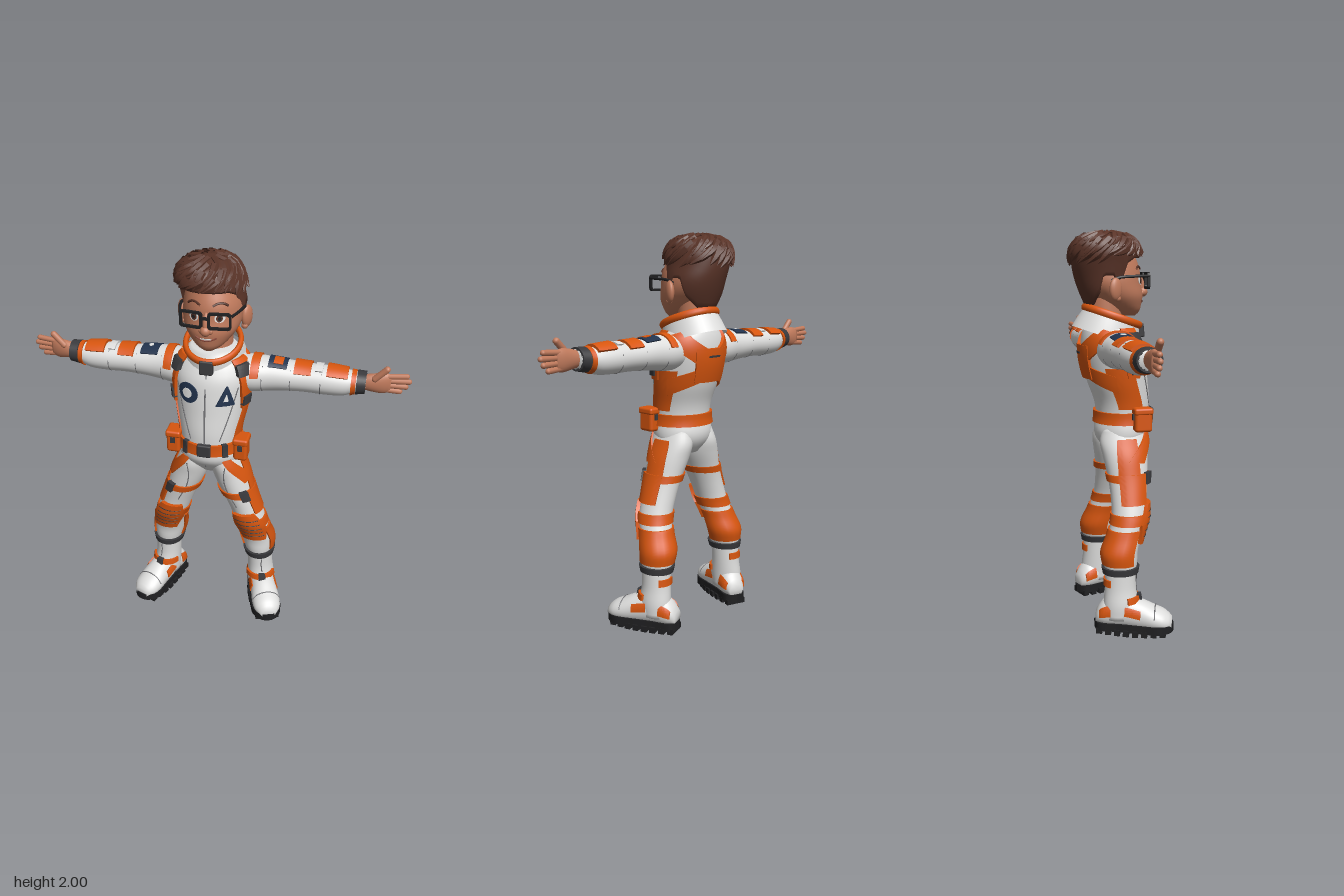
import * as THREE from 'three';
import { toCreasedNormals } from 'three/addons/utils/BufferGeometryUtils.js';
import { RoundedBoxGeometry } from 'three/addons/geometries/RoundedBoxGeometry.js';

const RAD = Math.PI / 180, clamp = THREE.MathUtils.clamp;
const V = (x, y, z) => new THREE.Vector3(x, y, z);
const material = (name, color, side = THREE.FrontSide) => Object.assign(new THREE.MeshStandardMaterial({ color, side }), { name });

// Smooth interpolation of cross-sections [t, centre1, centre2, radius1, radius2]
function sample(R, t) {
  let i = 0;
  while (i < R.length - 2 && t > R[i + 1][0]) i++;
  const h = R[i + 1][0] - R[i][0], u = clamp((t - R[i][0]) / h, 0, 1);
  const slope = (j, k) => {
    const p = R[Math.max(j - 1, 0)], q = R[Math.min(j + 1, R.length - 1)];
    return (q[k] - p[k]) / (q[0] - p[0]) * h;
  };
  return [1, 2, 3, 4].map(k => (1 + 2 * u) * (1 - u) ** 2 * R[i][k] + u * (1 - u) ** 2 * slope(i, k)
    + u * u * (3 - 2 * u) * R[i + 1][k] - u * u * (1 - u) * slope(i + 1, k));
}

// Surface along y (angle 0 = front, 90 = left) or along x (angle 0 = top, 90 = front)
const surface = (R, axis = 'y') => (t, deg, off = 0, k = 1) => {
  const [c, d, p, q] = sample(R, t), s = Math.sin(deg * RAD), o = Math.cos(deg * RAD);
  return axis === 'y' ? V(c + (p * k + off) * s, t, d + (q * k + off) * o)
    : V(t, c + (p * k + off) * o, d + (q * k + off) * s);
};

function grid(f, nu, nv, wrap) {
  const cols = wrap ? nu : nu + 1, pos = [], idx = [];
  for (let j = 0; j <= nv; j++) for (let i = 0; i < cols; i++) pos.push(...f(i, j).toArray());
  for (let j = 0; j < nv; j++) for (let i = 0; i < nu; i++) {
    const a = j * cols + i, b = j * cols + (i + 1) % cols;
    idx.push(a, b, b + cols, a, b + cols, a + cols);
  }
  const g = new THREE.BufferGeometry();
  g.setAttribute('position', new THREE.Float32BufferAttribute(pos, 3));
  g.setIndex(idx);
  g.computeVertexNormals();
  return g;
}
const loft = (s, t0, t1, n = 24, nu = 36) => grid((i, j) =>
  s(t0 + (t1 - t0) * clamp((j - 1) / n, 0, 1), i * 360 / nu, 0, j === 0 || j === n + 2 ? 0 : 1), nu, n + 2, true);

// Raised four-cornered panel on a surface: corners [t, degrees], lower-left first, anticlockwise
function pad(s, [A, B, C, D], d, n = 12) {
  const mix = (u, v, k) => (A[k] * (1 - u) + B[k] * u) * (1 - v) + (D[k] * (1 - u) + C[k] * u) * v;
  return toCreasedNormals(grid((i, j) => {
    const u = clamp((i - 1) / (n - 2), 0, 1), v = clamp((j - 1) / (n - 2), 0, 1);
    return s(mix(u, v, 0), mix(u, v, 1), i % n && j % n ? d : -0.004);
  }, n, n), 0.6);
}
const rect = (s, t0, t1, a0, a1, d) => pad(s, [[t0, a0], [t0, a1], [t1, a1], [t1, a0]], d, 14);
const disc = (s, t, a, r, w, d) => toCreasedNormals(grid((i, j) => {
  const k = j < 2 ? 1 : (4 - j) / 3, th = i / 24 * 2 * Math.PI;
  return s(t - r * k * Math.cos(th), a + w * k * Math.sin(th), j ? d : -0.003);
}, 24, 4, true), 0.6);
const band = (s, t0, t1, d) => toCreasedNormals(grid((i, j) =>
  s(t0 + (t1 - t0) * clamp((j - 1) / 3, 0, 1), i * 10, j % 5 ? d : -0.004), 36, 5, true), 0.6);
const tube = (pts, r, n = 16) => new THREE.TubeGeometry(new THREE.CatmullRomCurve3(pts), n, r, 6);
const seam = (s, pts, off = 0.001, r = 0.003) => tube(pts.map(([t, a]) => s(t, a, off)), r);

function mirrored(geo) {
  const g = geo.clone().scale(-1, 1, 1);
  const ix = g.index ? [...g.index.array] : [...Array(g.attributes.position.count).keys()];
  for (let i = 0; i < ix.length; i += 3) [ix[i], ix[i + 1]] = [ix[i + 1], ix[i]];
  return g.setIndex(ix);
}

export function createModel() {
  const model = new THREE.Group();
  model.name = 'boyInSpaceSuit';
  const suit = material('suitWhite', 0xdededd, THREE.DoubleSide), orange = material('orange', 0xd8560f, THREE.DoubleSide);
  const skin = material('skin', 0xc07a5c), hairMat = material('hairBrown', 0x5a3428, THREE.DoubleSide);
  const dark = material('strapGrey', 0x3a3a3d), black = material('black', 0x202022), navy = material('navy', 0x22334d);
  const white = material('white', 0xf2f2f0), lip = material('lip', 0x8f4a3c), line = material('seamGrey', 0x77777a);
  const add = (name, geo, mat) => {
    const m = new THREE.Mesh(geo, mat);
    m.name = name;
    model.add(m);
  };
  const both = (name, geo, mat) => { add(name + 'Left', geo, mat); add(name + 'Right', mirrored(geo), mat); };

  // Torso, harness and belt
  const torso = surface([[0.89, 0, 0.035, 0.07, 0.07], [0.95, 0, 0.04, 0.15, 0.12], [1.0, 0, 0.05, 0.162, 0.143],
    [1.07, 0, 0.055, 0.152, 0.137], [1.15, 0, 0.05, 0.157, 0.142], [1.25, 0, 0.027, 0.175, 0.155], [1.35, 0, 0.01, 0.188, 0.163],
    [1.43, 0, 0, 0.195, 0.16], [1.49, 0, -0.01, 0.175, 0.143], [1.53, 0, -0.015, 0.14, 0.125], [1.56, 0, -0.015, 0.11, 0.11]]);
  add('torso', loft(torso, 0.89, 1.56, 40), suit);
  add('zip', seam(torso, [[0.95, 0], [1.05, 0], [1.2, 0], [1.35, 0], [1.47, 0]], 0.001, 0.004), line);
  both('chestSeam', seam(torso, [[1.12, 28], [1.2, 36], [1.28, 42], [1.4, 50]]), line);
  both('sidePanel', pad(torso, [[1.12, 60], [1.12, 112], [1.33, 122], [1.33, 72]], 0.007), orange);
  both('frontStrap', pad(torso, [[1.28, 62], [1.28, 85], [1.525, 82], [1.525, 44]], 0.014), orange);
  both('upperBuckle', rect(torso, 1.455, 1.505, 46, 72, 0.026), dark);
  both('lowerBuckle', rect(torso, 1.30, 1.345, 60, 78, 0.024), dark);
  both('upperBackStrap', pad(torso, [[1.37, 150], [1.42, 178], [1.53, 125], [1.5, 92]], 0.014), orange);
  both('lowerBackStrap', pad(torso, [[1.2, 105], [1.27, 160], [1.34, 160], [1.29, 105]], 0.012), orange);
  add('backPlate', rect(torso, 1.27, 1.44, 150, 210, 0.018), orange);
  add('backPlateSlot', rect(torso, 1.395, 1.405, 170, 190, 0.021), dark);
  add('belt', band(torso, 1.04, 1.1, 0.014), orange);
  add('beltBuckle', new RoundedBoxGeometry(0.07, 0.068, 0.03, 2, 0.008).translate(0, 1.072, 0.2), dark);
  both('beltClip', rect(torso, 1.035, 1.105, 32, 42, 0.02), dark);
  both('pouch', new RoundedBoxGeometry(0.07, 0.12, 0.09, 3, 0.016).translate(0.172, 1.07, 0.115), orange);
  both('pouchFlap', new RoundedBoxGeometry(0.078, 0.035, 0.098, 3, 0.012).translate(0.172, 1.115, 0.115), orange);
  both('pouchClasp', new THREE.BoxGeometry(0.024, 0.03, 0.104).translate(0.172, 1.085, 0.115), dark);

  // Plain chest badges
  add('roundBadge', disc(torso, 1.365, -28, 0.05, 17, 0.006), navy);
  add('roundBadgeCentre', disc(torso, 1.365, -28, 0.024, 8, 0.009), white);
  add('triangleBadge', pad(torso, [[1.315, 16], [1.315, 47], [1.415, 32], [1.415, 30]], 0.006), navy);
  add('triangleBadgeCentre', pad(torso, [[1.34, 27], [1.34, 35], [1.375, 31.5], [1.375, 30.5]], 0.009), white);

  // Tilted collar
  const tilt = g => g.scale(0.9, 1, 1).rotateX(0.33).translate(0, 1.578, 0);
  const profile = [[0.178, -0.11], [0.166, -0.06], [0.155, -0.025], [0.148, 0]].map(p => new THREE.Vector2(...p));
  add('collar', tilt(new THREE.LatheGeometry(profile, 40)), suit);
  add('collarRim', tilt(new THREE.TorusGeometry(0.148, 0.015, 10, 40).rotateX(Math.PI / 2).scale(1, 1.3, 1)), orange);
  add('collarLatch', new RoundedBoxGeometry(0.066, 0.07, 0.035, 2, 0.008).rotateX(-0.1).translate(0, 1.505, 0.145), dark);

  // Head and face
  const head = surface([[1.58, 0, 0.085, 0.03, 0.035], [1.6, 0, 0.075, 0.062, 0.065], [1.63, 0, 0.05, 0.095, 0.098],
    [1.68, 0, 0.02, 0.13, 0.135], [1.74, 0, -0.012, 0.145, 0.157], [1.8, 0, -0.02, 0.141, 0.16],
    [1.86, -0.005, -0.03, 0.126, 0.15], [1.92, -0.01, -0.03, 0.1, 0.12], [1.96, -0.01, -0.03, 0.05, 0.06]]);
  add('head', loft(head, 1.58, 1.96, 30), skin);
  add('neck', new THREE.CylinderGeometry(0.085, 0.09, 0.18, 28).translate(0, 1.58, -0.04), skin);
  both('ear', new THREE.SphereGeometry(1, 18, 14).scale(0.02, 0.055, 0.036).rotateY(-0.45).translate(0.158, 1.715, -0.02), skin);
  both('earLobe', new THREE.SphereGeometry(0.016, 12, 10).translate(0.15, 1.67, -0.008), skin);
  add('noseTip', new THREE.SphereGeometry(0.025, 18, 14).translate(0, 1.698, 0.16), skin);
  add('noseBridge', new THREE.SphereGeometry(1, 16, 12).scale(0.016, 0.055, 0.024).rotateX(-0.2).translate(0, 1.73, 0.147), skin);
  both('nostril', new THREE.SphereGeometry(0.015, 12, 10).translate(0.019, 1.693, 0.148), skin);
  both('eyeWhite', disc(head, 1.755, 25, 0.021, 10, 0.002), white);
  both('iris', disc(head, 1.755, 24, 0.017, 6, 0.004), hairMat);
  both('pupil', disc(head, 1.755, 24, 0.009, 3, 0.006), black);
  both('eyebrow', seam(head, [[1.812, 12], [1.823, 24], [1.82, 34], [1.808, 42]], 0.001, 0.006), hairMat);
  add('mouth', seam(head, [[1.661, -25], [1.65, -13], [1.645, 0], [1.65, 13], [1.661, 25]], 0, 0.004), lip);
  add('teeth', rect(head, 1.65, 1.657, -13, 13, 0.002), white);

  // Glasses
  const box = (p, w, h, r) => {
    const pts = [];
    for (let i = 0; i < 24; i++) {
      const a = (i + 0.5) / 24 * 2 * Math.PI, c = Math.cos(a), s = Math.sin(a);
      pts.push(new THREE.Vector2(Math.sign(c) * (w - r) + r * c, Math.sign(s) * (h - r) + r * s));
    }
    return p.setFromPoints(pts);
  };
  const frame = box(new THREE.Shape(), 0.055, 0.041, 0.016);
  frame.holes.push(box(new THREE.Path(), 0.044, 0.03, 0.01));
  both('glassesFrame', new THREE.ExtrudeGeometry(frame, { depth: 0.014, bevelEnabled: false }).rotateY(0.12).translate(0.066, 1.754, 0.157), black);
  add('glassesBridge', new THREE.BoxGeometry(0.03, 0.012, 0.012).translate(0, 1.765, 0.172), black);
  both('glassesTemple', tube([V(0.118, 1.778, 0.16), V(0.14, 1.776, 0.08), V(0.15, 1.77, 0), V(0.148, 1.755, -0.04)], 0.007), black);

  // Hair cap with a shaped hairline
  const hair = surface([[1.63, 0, -0.05, 0.1, 0.088], [1.7, 0, -0.04, 0.14, 0.128], [1.77, 0, -0.04, 0.152, 0.152],
    [1.84, -0.014, -0.04, 0.152, 0.168], [1.9, -0.025, -0.04, 0.153, 0.17], [1.94, -0.027, -0.04, 0.14, 0.153],
    [1.97, -0.027, -0.04, 0.1, 0.11], [1.985, -0.027, -0.04, 0.03, 0.03]]);
  const edge = [[0, 1.868], [45, 1.862], [60, 1.84], [69, 1.74], [78, 1.735], [84, 1.78], [104, 1.78], [116, 1.69], [140, 1.635], [181, 1.63]];
  const hairline = deg => {
    const a = Math.min(deg, 360 - deg), i = edge.findIndex(e => e[0] > a), [p, q] = [edge[i - 1], edge[i]];
    return p[1] + (q[1] - p[1]) * (a - p[0]) / (q[0] - p[0]);
  };
  add('hairCap', grid((i, j) => {
    const a = i * 5, y0 = hairline(a), v = clamp((j - 1) / 18, 0, 1);
    return hair(y0 + (1.985 - y0) * Math.sin(v * Math.PI / 2), a, j ? 0 : -0.025, j === 20 ? 0 : 1);
  }, 72, 20, true), hairMat);

  // Tapered locks swept towards the right
  let seed = 7;
  const rnd = () => (seed = (seed * 16807) % 2147483647) / 2147483647;
  const lock = (pts, r) => {
    const curve = new THREE.CatmullRomCurve3(pts), g = new THREE.TubeGeometry(curve, 8, r, 6), p = g.attributes.position, v = V();
    for (let i = 0; i < p.count; i++) {
      const u = Math.floor(i / 7) / 8, c = curve.getPointAt(u);
      v.fromBufferAttribute(p, i).sub(c).multiplyScalar(1 - 0.96 * u * u).add(c);
      p.setXYZ(i, v.x, v.y, v.z);
    }
    g.computeVertexNormals();
    return toCreasedNormals(g, 0.7);
  };
  [[1.982, 1.955, 10], [1.97, 1.925, 16], [1.95, 1.885, 22], [1.92, 1.845, 24]].forEach(([y0, y1, n], tier) => {
    for (let i = 0; i < n; i++) {
      const a = (i + rnd() * 0.6) * 360 / n, w = -8 - 12 * rnd(), front = Math.cos(a * RAD) > 0.3;
      const end = Math.max(y1 - 0.02 * rnd(), front ? 1.872 : 0);
      add('hairLock', lock([hair(y0, a, -0.012), hair((y0 + end) / 2, a + w, 0), hair(end, a + 2 * w, 0.01 + 0.01 * rnd())],
        0.017 + 0.003 * tier), hairMat);
    }
  });

  // Arms with pads and cuffs
  const arm = surface([[0.12, 1.42, -0.01, 0.085, 0.1], [0.2, 1.423, -0.017, 0.09, 0.1], [0.28, 1.425, -0.022, 0.083, 0.088],
    [0.36, 1.425, -0.025, 0.075, 0.083], [0.45, 1.424, -0.025, 0.07, 0.077], [0.56, 1.422, -0.024, 0.07, 0.075],
    [0.64, 1.422, -0.022, 0.064, 0.068], [0.69, 1.43, -0.02, 0.051, 0.056], [0.74, 1.435, -0.018, 0.045, 0.05]], 'x');
  both('arm', loft(arm, 0.12, 0.74, 36), suit);
  both('shoulderBand', rect(arm, 0.195, 0.235, -70, 80, 0.008), orange);
  both('shoulderBadge', rect(arm, 0.275, 0.365, -38, 42, 0.006), navy);
  add('badgeInsetLeft', rect(arm, 0.3, 0.345, -10, 28, 0.009), orange);
  add('badgeInsetRight', mirrored(disc(arm, 0.32, 0, 0.012, 9, 0.009)), white);
  both('elbowPad', rect(arm, 0.4, 0.48, -55, 55, 0.012), orange);
  both('forearmPad', rect(arm, 0.555, 0.655, -50, 50, 0.013), orange);
  both('forearmStripe', rect(arm, 0.5, 0.535, -30, 35, 0.008), suit);
  for (const x of [0.25, 0.385, 0.53]) both('sleeveSeam', seam(arm, [40, 90, 140, 190, 240, 290].map(a => [x, a]), 0, 0.0025), line);
  both('cuffTrim', band(arm, 0.672, 0.694, 0.008), orange);
  both('cuff', band(arm, 0.697, 0.74, 0.009), dark);

  // Hands
  const palm = surface([[0.72, 1.437, -0.018, 0.036, 0.028], [0.77, 1.438, -0.018, 0.046, 0.029],
    [0.82, 1.438, -0.024, 0.053, 0.024], [0.855, 1.438, -0.03, 0.046, 0.015]], 'x');
  both('palm', loft(palm, 0.72, 0.855, 12, 24), skin);
  [[0.9, 1.401], [0.925, 1.426], [0.938, 1.451], [0.925, 1.475]].forEach(([x, y], i) => {
    const len = x - 0.82;
    both('finger', new THREE.CapsuleGeometry(0.0135, len, 5, 10).rotateZ(Math.PI / 2 + (i - 1.5) * 0.05)
      .rotateY(0.08).translate(0.82 + len / 2, y, -0.03), skin);
  });
  both('thumb', new THREE.CapsuleGeometry(0.016, 0.075, 5, 10).rotateZ(-0.75).translate(0.805, 1.493, -0.002), skin);

  // Legs with panels, straps and knee pads
  const leg = surface([[0.3, 0.263, -0.02, 0.064, 0.075], [0.36, 0.258, -0.02, 0.078, 0.085], [0.42, 0.25, -0.02, 0.088, 0.09],
    [0.5, 0.235, 0.008, 0.082, 0.085], [0.58, 0.215, 0.035, 0.083, 0.088], [0.68, 0.18, 0.043, 0.084, 0.092],
    [0.78, 0.142, 0.047, 0.089, 0.103], [0.88, 0.107, 0.043, 0.095, 0.117], [0.95, 0.087, 0.042, 0.086, 0.126], [1.02, 0.075, 0.045, 0.07, 0.11]]);
  both('leg', loft(leg, 0.3, 1.02, 40), suit);
  both('hipStripe', pad(leg, [[0.85, 50], [0.86, 95], [1.0, 35], [1.0, 2]], 0.008), orange);
  both('hipPanel', pad(leg, [[0.8, 65], [0.8, 125], [0.97, 115], [0.97, 70]], 0.007), orange);
  both('thighPanel', rect(leg, 0.655, 0.8, 45, 125, 0.012), orange);
  both('thighStrap', band(leg, 0.76, 0.795, 0.01), orange);
  both('thighBuckle', rect(leg, 0.75, 0.805, 22, 48, 0.02), dark);
  both('kneeStrap', band(leg, 0.555, 0.605, 0.009), orange);
  both('kneePad', pad(leg, [[0.465, -32], [0.465, 42], [0.56, 62], [0.56, -52]], 0.02), orange);
  both('kneePadTop', pad(leg, [[0.56, -52], [0.56, 62], [0.655, 42], [0.655, -32]], 0.02), orange);
  for (const y of [0.5, 0.53, 0.56, 0.59, 0.62]) both('kneePadGroove', seam(leg, [-32, -12, 8, 25, 42].map(a => [y, a]), 0.02, 0.0025), dark);
  both('calfPanel', rect(leg, 0.36, 0.53, 58, 290, 0.01), orange);
  both('ankleStrap', band(leg, 0.312, 0.345, 0.014), dark);
  both('trouserSeam', seam(leg, [[0.96, 10], [0.9, -5], [0.82, -15], [0.7, -10]]), line);

  // Boots, turned outwards
  const boot = surface([[0.08, 0.275, -0.025, 0.07, 0.085], [0.15, 0.275, -0.02, 0.073, 0.09], [0.23, 0.268, -0.022, 0.069, 0.08], [0.325, 0.264, -0.02, 0.069, 0.078]]);
  both('bootShaft', loft(boot, 0.08, 0.325, 12), suit);
  both('bootStrap', rect(boot, 0.165, 0.195, -60, 80, 0.012), orange);
  both('bootBuckle', rect(boot, 0.16, 0.2, 5, 30, 0.02), dark);
  both('bootHeelTab', rect(boot, 0.25, 0.285, 140, 215, 0.008), orange);
  both('bootSeam', seam(boot, [[0.3, 20], [0.26, 18], [0.21, 20]]), line);
  const place = g => g.rotateY(-Math.PI / 2 + 0.36).translate(0.295, 0, 0.03);
  const foot = surface([[-0.18, 0.08, 0, 0.035, 0.04], [-0.14, 0.1, 0, 0.07, 0.062], [-0.05, 0.11, 0, 0.085, 0.068],
    [0.05, 0.095, 0, 0.078, 0.073], [0.12, 0.08, 0, 0.062, 0.077], [0.17, 0.07, 0, 0.05, 0.068], [0.205, 0.06, 0, 0.03, 0.04]], 'x');
  both('bootFoot', place(loft(foot, -0.18, 0.205, 24)), suit);
  for (const s of [-1, 1]) {
    both('bootSidePatch', place(rect(foot, -0.03, 0.05, s * 75 - 15, s * 75 + 15, 0.006)), orange);
    both('bootHeelPatch', place(rect(foot, -0.16, -0.1, s * 75 - 20, s * 75 + 20, 0.006)), orange);
  }
  both('toeSeam', place(seam(foot, [-75, -40, 0, 40, 75].map(a => [0.12, a]))), line);
  const half = [[-0.16, 0.056], [-0.06, 0.062], [0.06, 0.074], [0.14, 0.08], [0.195, 0.048]];
  const outline = [...half, [0.213, 0], ...half.map(([x, y]) => [x, -y]).reverse(), [-0.192, 0]].map(p => new THREE.Vector2(...p));
  const sole = new THREE.Shape().moveTo(-0.192, 0).splineThru(outline);
  both('sole', place(new THREE.ExtrudeGeometry(sole, { depth: 0.04, bevelEnabled: false, curveSegments: 40 }).rotateX(-Math.PI / 2).translate(0, 0.018, 0)), black);
  for (let i = 0; i < 8; i++) {
    const x = -0.16 + i * 0.046, w = 0.108 + 0.05 * Math.sin(i / 7 * 2.7);
    both('soleLug', place(new THREE.BoxGeometry(0.03, 0.03, w).translate(x, 0.015, 0)), black);
  }
  return model;
}
